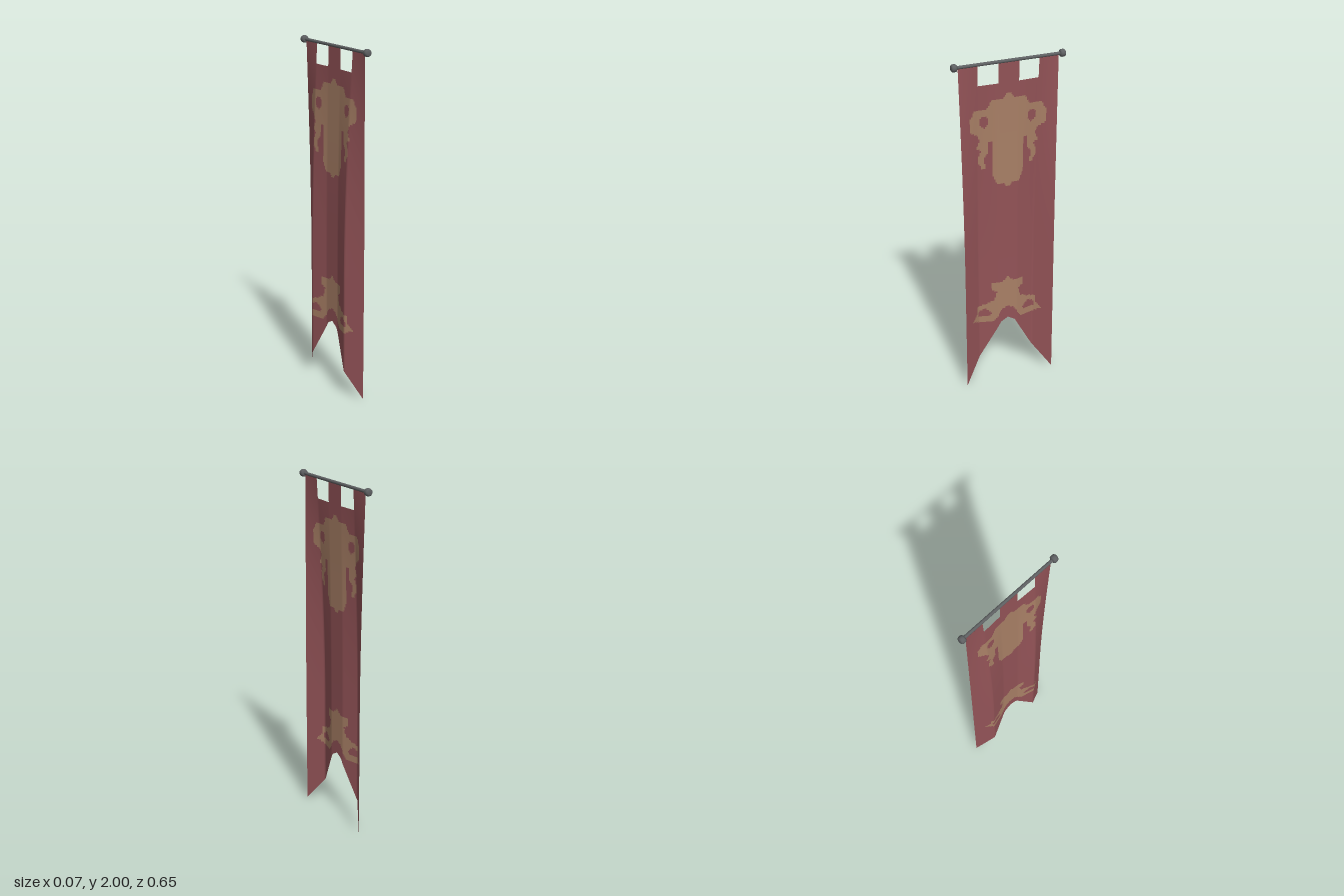
import * as THREE from 'three';

const TOP = 1.98, STEP = 0.01, ROWS = 198;

// piecewise linear lookup through [position, value] pairs
function lerpTable(table, p) {
  for (let i = 1; i < table.length; i++) {
    const [a, va] = table[i - 1], [b, vb] = table[i];
    if (p <= b) return va + ((vb - va) * (p - a)) / (b - a);
  }
  return table[table.length - 1][1];
}

// cross-section of the folds and the swallow-tail hem, by distance from the centre line
const FOLD = [[0, -0.016], [0.06, -0.016], [0.175, -0.045], [0.286, 0.017]];
const HEM = [[0, 0.395], [0.045, 0.37], [0.17, 0.155], [0.286, 0]];

// half outlines of the painted emblems [distance from centre, height]; mirrored
const EMBLEMS = [
  [[0, 1.80], [0.015, 1.795], [0.03, 1.775], [0.10, 1.765], [0.125, 1.725], [0.20, 1.718],
    [0.215, 1.69], [0.23, 1.66], [0.222, 1.60], [0.18, 1.57], [0.165, 1.54], [0.185, 1.50],
    [0.16, 1.475], [0.18, 1.42], [0.155, 1.37], [0.13, 1.365], [0.145, 1.43], [0.12, 1.46],
    [0.115, 1.535], [0.09, 1.535], [0.09, 1.32], [0.07, 1.275], [0.03, 1.27], [0, 1.245]],
  [[0, 0.67], [0.03, 0.645], [0.10, 0.645], [0.098, 0.59], [0.07, 0.575], [0.085, 0.525],
    [0.14, 0.50], [0.19, 0.485], [0.195, 0.44], [0.225, 0.405], [0.165, 0.378], [0.095, 0.375],
    [0.06, 0.42], [0.04, 0.455], [0, 0.47]],
];
const HOLES = [
  [[0.165, 1.67], [0.14, 1.685], [0.12, 1.67], [0.12, 1.63], [0.14, 1.61], [0.165, 1.635]],
  [[0.18, 0.45], [0.15, 0.475], [0.11, 0.45], [0.10, 0.43], [0.14, 0.415], [0.18, 0.42]],
];

function inside(poly, x, y) {
  let hit = false;
  for (let i = 0, j = poly.length - 1; i < poly.length; j = i++) {
    const [xi, yi] = poly[i], [xj, yj] = poly[j];
    if (yi > y !== yj > y && x < ((xj - xi) * (y - yi)) / (yj - yi) + xi) hit = !hit;
  }
  return hit;
}

// hanging sheet: offsets grow downwards from the straight top edge
function clothPoint(u, y) {
  const t = Math.min(1, (TOP - y) / 1.3);
  const sway = Math.sin((t * Math.PI) / 2);
  return [0.01 + lerpTable(FOLD, Math.abs(u)) * sway, y, u * (1 - 0.05 * sway)];
}

function buildCloth(clothMat, emblemMat) {
  // column positions, with exact columns on the folds and slot edges
  const half = [0];
  for (const [a, b, n] of [[0, 0.06, 8], [0.06, 0.175, 14], [0.175, 0.286, 13]])
    for (let i = 1; i <= n; i++) half.push(a + ((b - a) * i) / n);
  const cols = [...half.slice(1).reverse().map((v) => -v), ...half];

  const positions = [];
  for (const u of cols)
    for (let r = 0; r <= ROWS; r++)
      positions.push(...clothPoint(u, Math.max(r * STEP, lerpTable(HEM, Math.abs(u)))));

  const plain = [], painted = [];
  for (let c = 0; c < cols.length - 1; c++) {
    const u = Math.abs(cols[c] + cols[c + 1]) / 2;
    const hem = Math.min(lerpTable(HEM, Math.abs(cols[c])), lerpTable(HEM, Math.abs(cols[c + 1])));
    for (let r = 0; r < ROWS; r++) {
      const y = (r + 0.5) * STEP;
      if ((r + 1) * STEP <= hem) continue;                  // below the hem
      if (u > 0.06 && u < 0.175 && y > 1.86) continue;      // slots under the rod
      const isPaint = EMBLEMS.some((p) => inside(p, u, y)) && !HOLES.some((p) => inside(p, u, y));
      const a = c * (ROWS + 1) + r, b = a + ROWS + 1;
      (isPaint ? painted : plain).push(a, a + 1, b, b, a + 1, b + 1);
    }
  }

  // shared points and normals keep the folds smooth across both colours
  const whole = new THREE.BufferGeometry();
  whole.setAttribute('position', new THREE.Float32BufferAttribute(positions, 3));
  whole.setIndex([...plain, ...painted]);
  whole.computeVertexNormals();
  const part = (name, index, mat) => {
    const g = new THREE.BufferGeometry();
    g.setAttribute('position', whole.attributes.position);
    g.setAttribute('normal', whole.attributes.normal);
    g.setIndex(index);
    const mesh = new THREE.Mesh(g, mat);
    mesh.name = name;
    return mesh;
  };
  return [part('cloth', plain, clothMat), part('emblems', painted, emblemMat)];
}

export function createModel() {
  const mat = (name, color, extra = {}) => {
    const m = new THREE.MeshStandardMaterial({ color, ...extra });
    m.name = name;
    return m;
  };
  const red = mat('fadedRed', 0x935357, { side: THREE.DoubleSide });
  const tan = mat('tanPaint', 0xa98066, { side: THREE.DoubleSide });
  const iron = mat('darkIron', 0x5e6062);

  const group = new THREE.Group();
  group.name = 'hangingBanner';
  group.add(...buildCloth(red, tan));

  // rod across the top
  const rod = new THREE.Mesh(new THREE.CylinderGeometry(0.009, 0.009, 0.61, 12), iron);
  rod.name = 'rod';
  rod.rotation.x = Math.PI / 2;
  rod.position.set(0.01, TOP, 0);
  group.add(rod);

  // rounded knobs on both rod ends
  const profile = [[0, -0.016], [0.013, -0.016], [0.019, -0.012], [0.021, -0.006],
    [0.021, 0.006], [0.019, 0.012], [0.013, 0.016], [0, 0.016]];
  const knobGeo = new THREE.LatheGeometry(profile.map(([r, h]) => new THREE.Vector2(r, h)), 16);
  for (const side of [1, -1]) {
    const knob = new THREE.Mesh(knobGeo, iron);
    knob.name = side > 0 ? 'frontKnob' : 'backKnob';
    knob.rotation.x = Math.PI / 2;
    knob.position.set(0.01, TOP, side * 0.307);
    group.add(knob);
  }
  return group;
}
